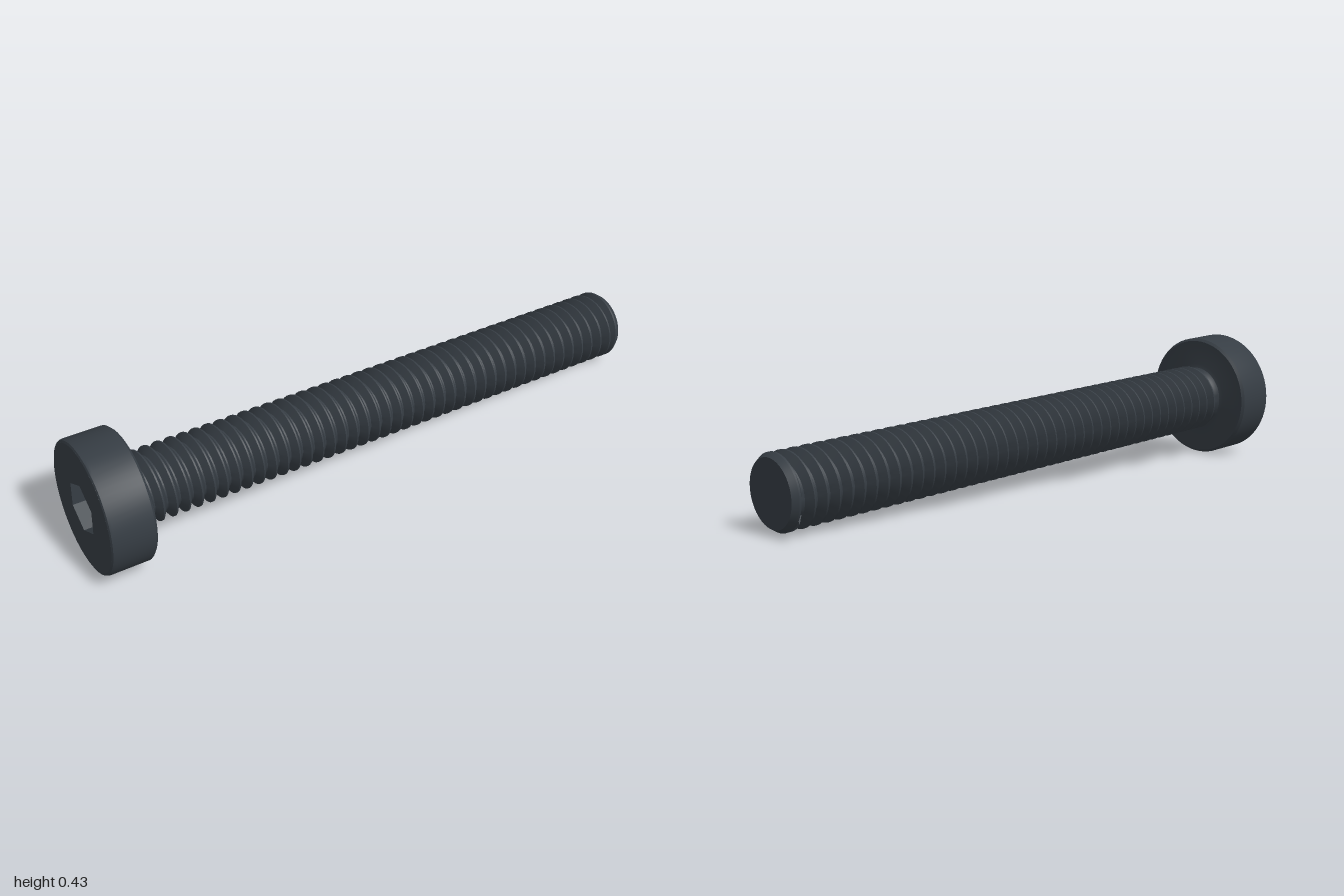
import * as THREE from 'three';
import { toCreasedNormals } from 'three/addons/utils/BufferGeometryUtils.js';

const SEGMENTS = 64;
const HEAD_RADIUS = 0.21, HEAD_HEIGHT = 0.143;
const SOCKET_RADIUS = 0.085, SOCKET_DEPTH = 0.08;
const CREST = 0.115, ROOT = 0.091, PITCH = 0.042;

const HEAD_CENTRE = new THREE.Vector3(-0.957, 0.21, -0.155);
const TIP_CENTRE = new THREE.Vector3(0.976, 0.116, 0.25);
const LENGTH = HEAD_CENTRE.distanceTo(TIP_CENTRE);

// Turned part; the profile is [radius, distance along the axis]
function turned(profile, crease = 0.45) {
  const points = profile.map(([r, y]) => new THREE.Vector2(r, y));
  return toCreasedNormals(new THREE.LatheGeometry(points, SEGMENTS), crease);
}

// Helical thread: a toothed lathe whose rows climb one pitch per turn
function threadGeometry(start, end) {
  const profile = [];
  const turns = Math.ceil((end - start) / PITCH) + 1;
  for (let k = -1; k < turns; k++) {
    const y = start + k * PITCH;
    profile.push(
      new THREE.Vector2(ROOT, y),
      new THREE.Vector2(ROOT, y + PITCH * 0.12),
      new THREE.Vector2(CREST, y + PITCH * 0.5),
      new THREE.Vector2(CREST, y + PITCH * 0.62)
    );
  }
  const geometry = new THREE.LatheGeometry(profile, SEGMENTS);
  const pos = geometry.attributes.position;
  for (let i = 0; i < pos.count; i++) {
    const column = Math.floor(i / profile.length);
    const y = pos.getY(i) + PITCH * column / SEGMENTS;
    const radius = profile[i % profile.length].x;
    // Run the thread out to the root at both ends
    const scale = y <= start || y >= end ? ROOT / radius : 1;
    pos.setXYZ(i, pos.getX(i) * scale, THREE.MathUtils.clamp(y, start, end), pos.getZ(i) * scale);
  }
  return toCreasedNormals(geometry, 0.45);
}

// Outer head face with the walls of the hexagonal socket
function socketGeometry() {
  const face = new THREE.Shape().absarc(0, 0, HEAD_RADIUS - 0.01, 0, Math.PI * 2, false);
  const corners = [];
  for (let i = 0; i < 6; i++) {
    const a = i * Math.PI / 3;
    corners.push(new THREE.Vector2(Math.cos(a) * SOCKET_RADIUS, Math.sin(a) * SOCKET_RADIUS));
  }
  face.holes.push(new THREE.Path(corners));
  return new THREE.ExtrudeGeometry(face, {
    depth: SOCKET_DEPTH, bevelEnabled: false, curveSegments: SEGMENTS
  }).rotateX(-Math.PI / 2);
}

export function createModel() {
  const blackSteel = new THREE.MeshStandardMaterial({ color: 0x363d44 });
  blackSteel.name = 'blackSteel';

  const model = new THREE.Group();
  model.name = 'socketHeadBolt';
  const add = (name, geometry) => {
    const mesh = new THREE.Mesh(geometry, blackSteel);
    mesh.name = name;
    model.add(mesh);
    return mesh;
  };

  // Head wall with chamfered rims, bearing face and neck fillet
  add('head', turned([
    [HEAD_RADIUS - 0.01, 0],
    [HEAD_RADIUS - 0.003, 0.003],
    [HEAD_RADIUS, 0.01],
    [HEAD_RADIUS, HEAD_HEIGHT - 0.008],
    [HEAD_RADIUS - 0.008, HEAD_HEIGHT],
    [0.118, HEAD_HEIGHT],
    [0.105, HEAD_HEIGHT + 0.004],
    [0.097, HEAD_HEIGHT + 0.012],
    [ROOT, HEAD_HEIGHT + 0.026]
  ]));

  add('headFaceAndSocket', socketGeometry());

  const floor = add('socketFloor', new THREE.CircleGeometry(SOCKET_RADIUS + 0.01, 6).rotateX(Math.PI / 2));
  floor.position.y = SOCKET_DEPTH - 0.001;

  // Threaded shank
  add('thread', threadGeometry(HEAD_HEIGHT + 0.02, LENGTH - 0.034));

  // Chamfered tip
  add('tip', turned([
    [ROOT - 0.002, LENGTH - 0.042],
    [CREST, LENGTH - 0.024],
    [CREST, LENGTH - 0.018],
    [0.103, LENGTH],
    [0, LENGTH]
  ]));

  // Lay the bolt from the head centre to the tip centre, one socket corner up
  const axis = TIP_CENTRE.clone().sub(HEAD_CENTRE).normalize();
  const up = new THREE.Vector3(0, 1, 0);
  up.addScaledVector(axis, -up.dot(axis)).normalize();
  const side = new THREE.Vector3().crossVectors(up, axis);
  model.quaternion.setFromRotationMatrix(new THREE.Matrix4().makeBasis(up, axis, side));
  model.position.copy(HEAD_CENTRE);
  return model;
}
